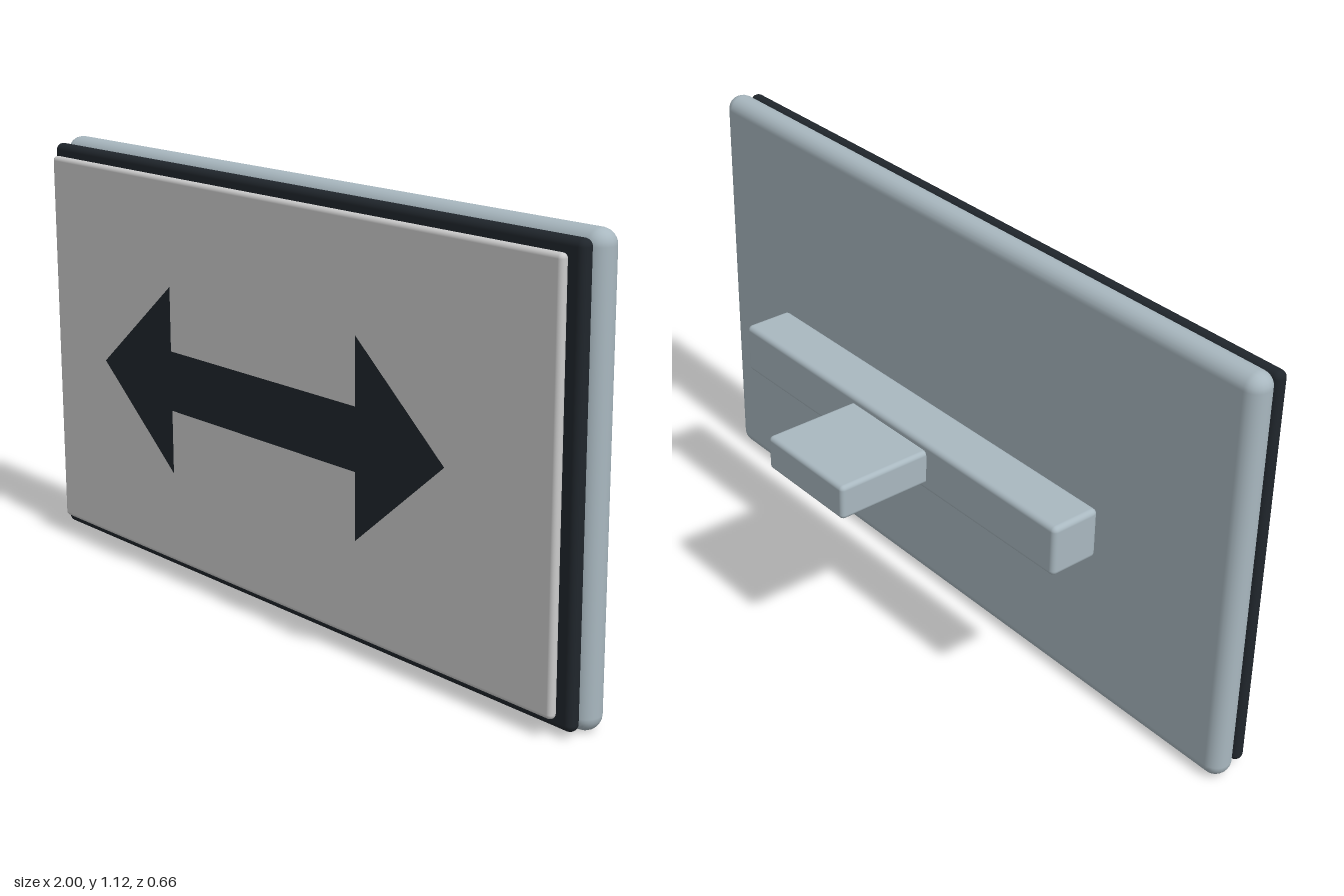
import * as THREE from 'three';
import { RoundedBoxGeometry } from 'three/addons/geometries/RoundedBoxGeometry.js';

const material = (color) => new THREE.MeshStandardMaterial({ color });

export function createModel() {
  const group = new THREE.Group();
  const casing = material(0xa9b8c0);
  const dark = material(0x20262c);
  const face = material(0xcccccc);

  // Rounded slab given by its half width and its y and z ranges
  function slab(name, mat, halfWidth, [y0, y1], [z0, z1], radius, segments) {
    const geometry = new RoundedBoxGeometry(2 * halfWidth, y1 - y0, z1 - z0, segments, radius);
    const mesh = new THREE.Mesh(geometry, mat);
    mesh.name = name;
    mesh.position.set(0, (y0 + y1) / 2, (z0 + z1) / 2);
    group.add(mesh);
  }

  // Layered sign board
  slab('backPanel', casing, 1, [0, 1.125], [0.141, 0.219], 0.038, 3);
  slab('darkBorder', dark, 0.99, [0.015, 1.11], [0.22, 0.257], 0.018, 3);
  slab('signFace', face, 0.957, [0.046, 1.08], [0.262, 0.287], 0.012, 3);

  // Mounting bar with its bracket behind the board
  slab('mountingBar', casing, 0.623, [0.495, 0.633], [-0.068, 0.071], 0.014, 3);
  slab('bracket', casing, 0.153, [0.517, 0.612], [-0.33, -0.03], 0.012, 3);

  // Flat double-headed arrow standing off the sign face
  const half = [[0.66, 0], [0.36, 0.248], [0.36, 0.079]];
  const outline = [
    ...half,
    ...half.map(([x, y]) => [-x, y]).reverse(),
    ...half.slice(1).map(([x, y]) => [-x, -y]),
    ...half.slice(1).map(([x, y]) => [x, -y]).reverse(),
  ].map(([x, y]) => new THREE.Vector2(x, y));
  const arrowMaterial = material(0x20262c);
  arrowMaterial.side = THREE.DoubleSide;
  const arrow = new THREE.Mesh(new THREE.ShapeGeometry(new THREE.Shape(outline)), arrowMaterial);
  arrow.name = 'doubleArrow';
  arrow.position.set(0, 0.564, 0.33);
  group.add(arrow);

  return group;
}
